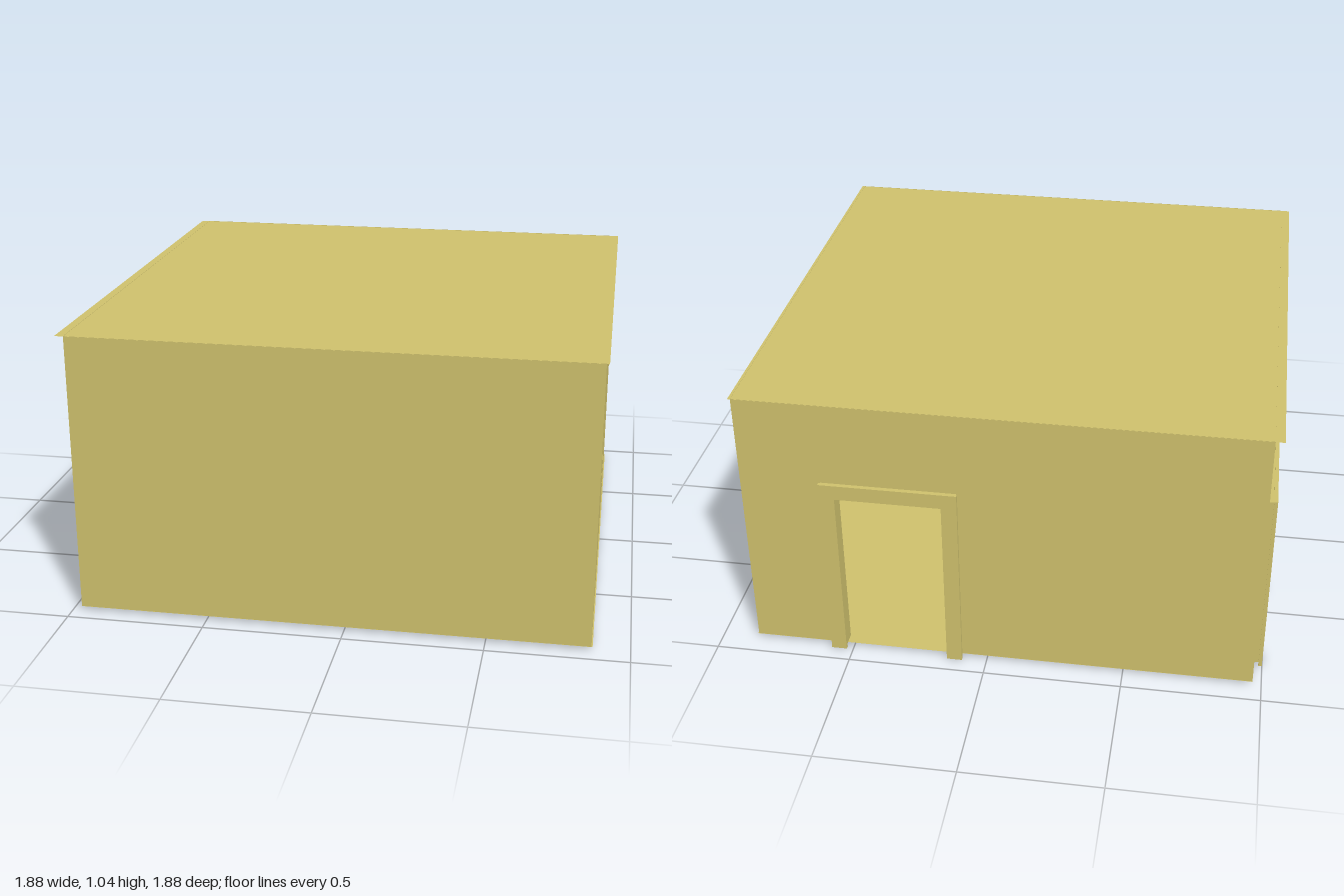
import * as THREE from 'three';

const BASE = 0.014, TOP = 1.036;

export function createModel() {
  const model = new THREE.Group();
  model.name = 'building';
  const plaster = new THREE.MeshStandardMaterial({ color: 0xcdbf6c, side: THREE.DoubleSide });
  plaster.name = 'ochre plaster';

  const add = (parent, name, geometry) => {
    const mesh = new THREE.Mesh(geometry, plaster);
    mesh.name = name;
    parent.add(mesh);
    return mesh;
  };
  const polygon = (points) => new THREE.Shape(points.map(([x, y]) => new THREE.Vector2(x, y)));
  const rectangle = (x0, x1, y0, y1) => polygon([[x0, y0], [x1, y0], [x1, y1], [x0, y1]]);

  // Upside-down U: two posts and a lintel
  const arch = (x0, x1, top, bottom, post) => polygon([
    [x0, bottom], [x0 + post, bottom], [x0 + post, top - post], [x1 - post, top - post],
    [x1 - post, bottom], [x1, bottom], [x1, top], [x0, top],
  ]);

  // Wall with a door; the outside faces local -z
  const doorWall = (name, x0, x1, d0, d1, plane, outer) => {
    const group = new THREE.Group();
    group.name = name;
    const inset = 0.02, head = 0.705;
    const wall = polygon([
      [x0, BASE], [d0 + inset, BASE], [d0 + inset, head], [d1 - inset, head],
      [d1 - inset, BASE], [x1, BASE], [x1, TOP], [x0, TOP],
    ]);
    add(group, name + 'Surface', new THREE.ShapeGeometry(wall)).position.z = plane;

    // Outer trim reaches the ground, the jamb stands on the floor
    const trimDepth = 0.013, jambEnd = plane + 0.04;
    const trim = arch(d0, d1, 0.727, 0, 0.056);
    add(group, 'doorTrim', new THREE.ExtrudeGeometry(trim, { depth: trimDepth, bevelEnabled: false }))
      .position.z = outer;
    const jamb = arch(d0 + 0.004, d1 - 0.004, 0.723, BASE, 0.052);
    add(group, 'doorJamb', new THREE.ExtrudeGeometry(jamb,
      { depth: jambEnd - outer - trimDepth, bevelEnabled: false })).position.z = outer + trimDepth;
    model.add(group);
    return group;
  };

  // Back and left walls with doorways
  doorWall('backWall', -0.968, 0.866, 0.09, 0.58, -0.92, -0.942);
  doorWall('leftWall', -0.938, 0.92, 0.325, 0.815, -0.968, -1).rotation.y = Math.PI / 2;

  // Plain front wall
  add(model, 'frontWall', new THREE.ShapeGeometry(rectangle(-0.968, 0.866, BASE, TOP))).position.z = 0.938;

  // Side wall with a square window
  const windowWall = rectangle(-0.938, 0.92, BASE, TOP);
  windowWall.holes.push(rectangle(-0.337, -0.05, 0.352, 0.627));
  const side = add(model, 'windowWall', new THREE.ShapeGeometry(windowWall));
  side.rotation.y = Math.PI / 2;
  side.position.x = 0.866;

  // Thin floor and slightly overhanging roof
  const slab = (name, x0, x1, y) => {
    const mesh = add(model, name, new THREE.PlaneGeometry(x1 - x0, 1.86));
    mesh.rotation.x = -Math.PI / 2;
    mesh.position.set((x0 + x1) / 2, y, 0.009);
  };
  slab('floor', -0.968, 0.87, BASE);
  slab('roof', -1, 0.876, TOP - 0.001);

  return model;
}
